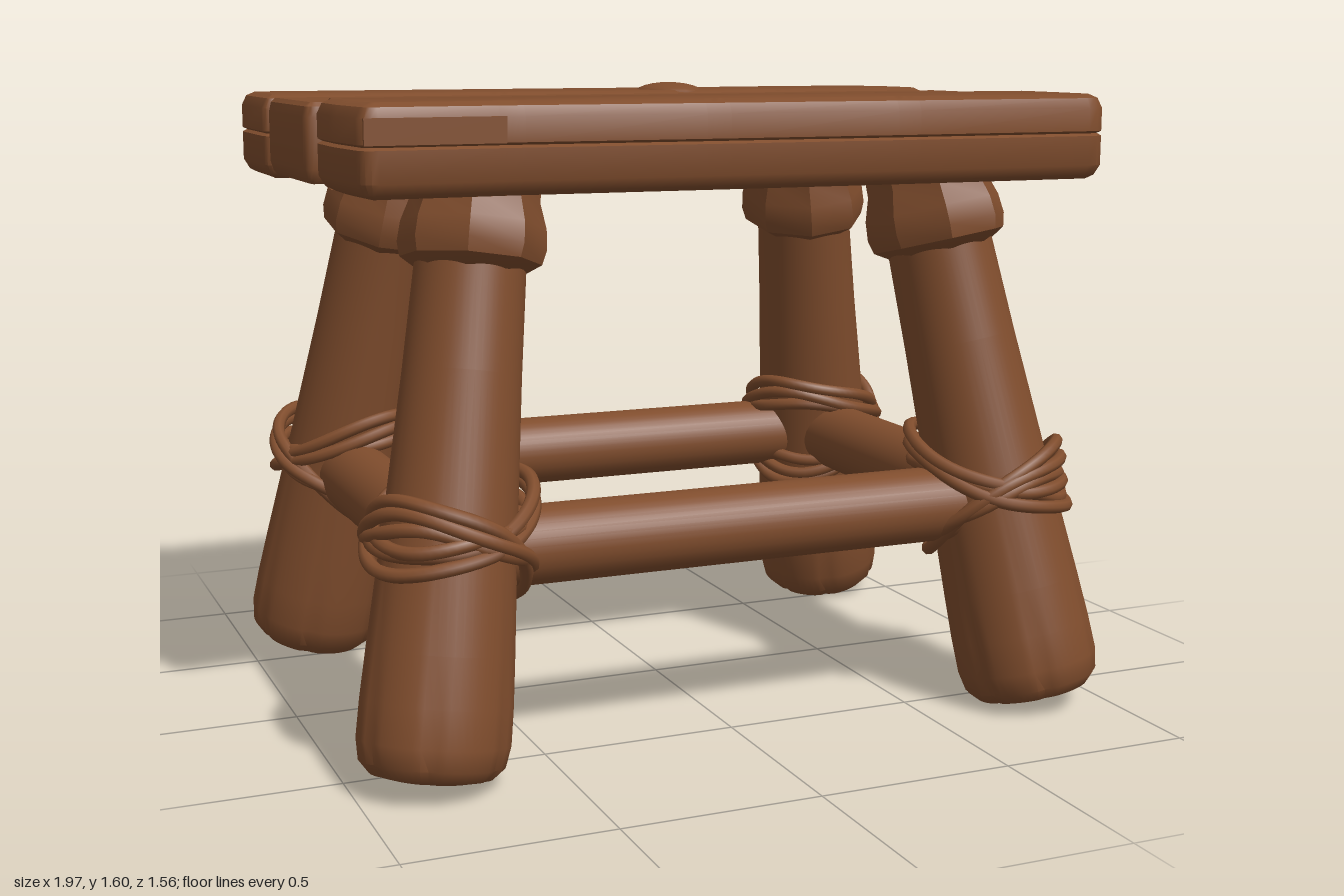
import * as THREE from 'three';
import { toCreasedNormals } from 'three/addons/utils/BufferGeometryUtils.js';

const wood = new THREE.MeshStandardMaterial({ color: 0x804d2d });
wood.name = 'brown wood';

function add(parent, name, geometry) {
  const mesh = new THREE.Mesh(geometry, wood);
  mesh.name = name;
  parent.add(mesh);
  return mesh;
}

// Round each corner [x, z, radius] of an outline
function roundOutline(corners) {
  const out = [];
  corners.forEach(([x, z, r = 0.03], i) => {
    const n = corners.length;
    const c = new THREE.Vector2(x, z);
    const toward = (k) => {
      const d = new THREE.Vector2(corners[k % n][0], corners[k % n][1]).sub(c);
      return c.clone().addScaledVector(d, Math.min(r / d.length(), 0.45));
    };
    const curve = new THREE.QuadraticBezierCurve(toward(i + n - 1), c, toward(i + 1));
    out.push(...curve.getPoints(4));
  });
  return THREE.ShapeUtils.area(out) > 0 ? out.reverse() : out;
}

// Stack inset copies of an outline; profile is a list of [height, inset]
function plankGeometry(corners, profile) {
  const line = roundOutline(corners);
  const n = line.length;
  const normals = line.map((p, i) => {
    const a = p.clone().sub(line[(i + n - 1) % n]).normalize();
    const b = line[(i + 1) % n].clone().sub(p).normalize();
    return new THREE.Vector2(-a.y - b.y, a.x + b.x).divideScalar(1 + a.dot(b));
  });
  const positions = [];
  const index = [];
  profile.forEach(([y, inset]) => line.forEach((p, i) => {
    positions.push(p.x + normals[i].x * -inset * -SIDE, y, p.y + normals[i].y * -inset * -SIDE);
  }));
  for (let k = 0; k < profile.length - 1; k++) {
    for (let i = 0; i < n; i++) {
      const a = k * n + i, b = k * n + (i + 1) % n;
      index.push(a, b, b + n, a, b + n, a + n);
    }
  }
  // end caps
  const top = (profile.length - 1) * n;
  THREE.ShapeUtils.triangulateShape(line, []).forEach(([a, b, c]) => {
    if (THREE.ShapeUtils.area([line[a], line[b], line[c]]) > 0) [b, c] = [c, b];
    index.push(top + a, top + b, top + c, a, c, b);
  });
  const g = new THREE.BufferGeometry();
  g.setAttribute('position', new THREE.Float32BufferAttribute(positions, 3));
  g.setIndex(index);
  return toCreasedNormals(g, 0.6);
}
// the outline runs so that the rotated edge direction points outward
const SIDE = -1;

// Rounded-edge plank profile, optionally with a split line round the sides
function profile(y0, y1, split) {
  const groove = split ? [[split - 0.006, 0], [split, 0.012], [split + 0.006, 0]] : [];
  return [[y0, 0.035], [y0 + 0.01, 0.015], [y0 + 0.035, 0], ...groove,
    [y1 - 0.035, 0], [y1 - 0.01, 0.012], [y1, 0.035]];
}

function buildSeat() {
  const seat = new THREE.Group();
  seat.name = 'seat';
  add(seat, 'frontPlank', plankGeometry([
    [-0.96, 0.23], [-0.4, 0.222], [0, 0.228], [0.5, 0.23], [0.98, 0.25],
    [0.985, 0.45], [0.975, 0.64, 0.06], [0.4, 0.64], [-0.1, 0.63], [-0.6, 0.615],
    [-0.95, 0.63, 0.04], [-0.965, 0.42],
  ], profile(1.37, 1.583, 1.485)));
  add(seat, 'middlePlank', plankGeometry([
    [-0.98, -0.22], [-0.3, -0.203], [0.4, -0.212], [0.98, -0.235],
    [0.985, -0.045, 0.01], [0.725, -0.035, 0.01], [0.7, 0.07, 0.02], [0.665, 0.222, 0.02],
    [0.2, 0.212], [-0.2, 0.217], [-0.98, 0.215],
  ], profile(1.38, 1.573).map(([y, d]) => [y, d * 0.5])));
  // split-off corner of the middle plank
  add(seat, 'looseChipInner', plankGeometry([
    [0.73, -0.031, 0.01], [0.975, -0.041, 0.01], [0.975, 0.062, 0.01], [0.708, 0.056, 0.01],
  ], profile(1.38, 1.57).map(([y, d]) => [y, d * 0.3])));
  add(seat, 'looseChipOuter', plankGeometry([
    [0.705, 0.06, 0.01], [0.98, 0.066, 0.01], [0.98, 0.23, 0.02], [0.67, 0.222, 0.01],
  ], profile(1.38, 1.568).map(([y, d]) => [y, d * 0.3])));
  add(seat, 'backPlank', plankGeometry([
    [-0.985, -0.235], [-0.98, -0.59, 0.05], [-0.5, -0.605], [0, -0.608], [0.4, -0.6],
    [0.62, -0.625, 0.08], [0.88, -0.61, 0.12], [0.975, -0.48, 0.12], [0.97, -0.255],
    [0.5, -0.228], [0.2, -0.212], [-0.35, -0.216],
  ], profile(1.365, 1.58, 1.48)));
  // low knot and a raised splinter
  const knot = add(seat, 'knot', new THREE.SphereGeometry(1, 24, 12));
  knot.scale.set(0.09, 0.03, 0.13);
  knot.position.set(0.19, 1.57, -0.36);
  const splinter = add(seat, 'splinter', new THREE.BoxGeometry(0.33, 0.06, 0.008));
  splinter.position.set(-0.78, 1.52, 0.622);
  splinter.rotation.y = 0.03;
  return seat;
}

// Centre of a leg at height y, for the corner (sx, sz)
const legPoint = (sx, sz, y) =>
  new THREE.Vector3(sx * (0.82 - 0.158 * (y - 0.03)), y, sz * (0.615 - 0.192 * (y - 0.03)));

// Tapered log with a rounded foot, worn by a few vertical cracks
function legGeometry() {
  const points = [[0, 0], [0.1, 0.002], [0.145, 0.012], [0.172, 0.04], [0.182, 0.09], [0.182, 0.18],
    [0.178, 0.3], [0.165, 0.6], [0.152, 0.95], [0.146, 1.2], [0.146, 1.4]];
  const g = new THREE.LatheGeometry(points.map((p) => new THREE.Vector2(...p)), 56);
  const p = g.attributes.position;
  for (let i = 0; i < p.count; i++) {
    const x = p.getX(i), y = p.getY(i), z = p.getZ(i);
    const a = Math.atan2(z, x);
    const crack = Math.max(0, Math.cos(a * 7 + Math.sin(a * 2))) ** 10;
    const wear = 1 - 0.06 * crack * Math.max(0, 1 - y / 0.42);
    p.setXYZ(i, x * wear * (1 - 0.1 * Math.min(1, y / 1.2)), y, z * wear);
  }
  g.computeVertexNormals();
  return toCreasedNormals(g, 0.7);
}

// Faceted block between leg and seat
function blockGeometry() {
  const points = [[0, 0], [0.15, 0], [0.195, 0.025], [0.205, 0.06], [0.2, 0.11], [0.178, 0.17], [0.175, 0.25]];
  const g = new THREE.LatheGeometry(points.map((p) => new THREE.Vector2(...p)), 8);
  g.rotateY(Math.PI / 8).scale(0.85, 1, 1);
  return toCreasedNormals(g, 0.6);
}

// Rope loop tilted along the corner diagonal
function ropeGeometry(sx, sz, inner, outer, radius, phase) {
  const diagonal = Math.atan2(sz, sx);
  const points = [];
  for (let i = 0; i < 20; i++) {
    const a = (i / 20) * Math.PI * 2;
    const c = Math.cos(a - diagonal);
    const y = (inner + outer) / 2 + (c * (outer - inner)) / 2 + 0.008 * Math.sin(3 * a + phase);
    const r = radius + 0.006 * Math.sin(2 * a + phase);
    points.push(legPoint(sx, sz, y).add(new THREE.Vector3(Math.cos(a) * r, 0, Math.sin(a) * r)));
  }
  return new THREE.TubeGeometry(new THREE.CatmullRomCurve3(points, true), 64, 0.017, 8, true);
}

function buildLeg(sx, sz) {
  const group = new THREE.Group();
  group.name = (sz > 0 ? 'front' : 'back') + (sx > 0 ? 'Left' : 'Right') + 'Leg';
  const up = new THREE.Vector3(0, 1, 0);
  const axis = legPoint(sx, sz, 1).sub(legPoint(sx, sz, 0)).normalize();
  const place = (mesh, y) => {
    mesh.position.copy(legPoint(sx, sz, y));
    mesh.quaternion.setFromUnitVectors(up, axis);
  };
  place(add(group, 'log', legGeometry()), 0.025);
  place(add(group, 'topBlock', blockGeometry()), 1.18);
  // crossed lashing: [inner height, outer height, radius]
  [[0.71, 0.56, 0.183], [0.675, 0.53, 0.192], [0.64, 0.585, 0.186],
    [0.4, 0.69, 0.19], [0.435, 0.655, 0.196], [0.47, 0.62, 0.188]].forEach(([i, o, r], k) =>
    add(group, 'rope', ropeGeometry(sx, sz, i, o, r, k * 1.3 + sx + sz * 2)));
  return group;
}

// Round rail between two leg centres
function buildRail(parent, name, from, to) {
  const rail = add(parent, name, new THREE.CylinderGeometry(0.096, 0.096, from.distanceTo(to), 32));
  rail.position.copy(from).add(to).multiplyScalar(0.5);
  rail.quaternion.setFromUnitVectors(new THREE.Vector3(0, 1, 0), to.clone().sub(from).normalize());
}

export function createModel() {
  const stool = new THREE.Group();
  stool.name = 'stool';
  stool.add(buildSeat());
  for (const sx of [1, -1]) for (const sz of [1, -1]) stool.add(buildLeg(sx, sz));
  const y = 0.536;
  for (const s of [1, -1]) {
    buildRail(stool, s > 0 ? 'frontRail' : 'backRail', legPoint(-1, s, y), legPoint(1, s, y));
    buildRail(stool, s > 0 ? 'leftRail' : 'rightRail', legPoint(s, -1, y), legPoint(s, 1, y));
  }
  return stool;
}
